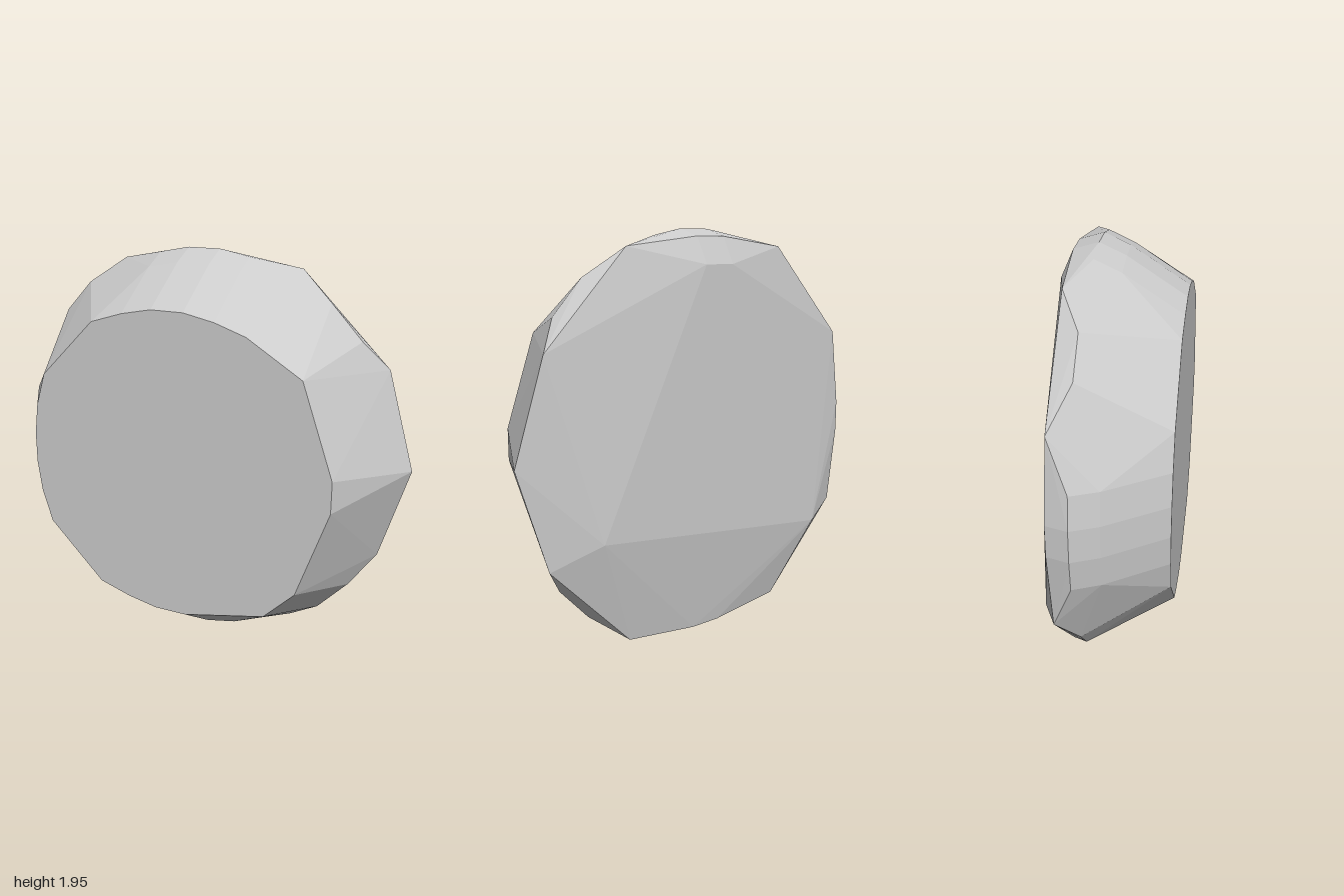
import * as THREE from 'three';
import { ConvexGeometry } from 'three/addons/geometries/ConvexGeometry.js';

const HEIGHT = 1.95;

// Lift [x, y] pairs onto a depth z
const ring = (z, pairs) => pairs.map(([x, y]) => new THREE.Vector3(x, y, z));

// Same, with every point repeated upside down
const mirroredRing = (z, pairs) =>
  ring(z, pairs.flatMap(([x, y]) => [[x, y], [x, HEIGHT - y]]));

export function createModel() {
  const group = new THREE.Group();
  group.name = 'facetedStone';

  const points = [
    // flat front face
    ...mirroredRing(0.28, [
      [-0.11, 1.72], [0.05, 1.72], [-0.26, 1.69], [-0.42, 1.64], [0.61, 1.48],
      [0.76, 1.05], [-0.7, 1.36], [-0.75, 1.2], [-0.77, 1.05],
    ]),
    ...ring(0.28, [[0.2, 1.69], [0.35, 1.64], [0.46, 0.32]]),
    // shoulder behind the front face
    ...mirroredRing(0.01, [
      [-0.11, 1.895], [0.05, 1.895], [-0.26, 1.865], [0.2, 1.865],
      [-0.95, 1.05], [-0.93, 1.2],
    ]),
    // widest rim
    ...mirroredRing(-0.11, [
      [-0.11, 1.95], [0.05, 1.95], [-0.26, 1.92], [0.2, 1.92],
      [0.6, 1.74], [0.75, 1.58], [-0.66, 1.75], [-0.8, 1.6],
      [-1, 1.05], [-0.98, 1.2],
    ]),
    // crease round the back
    ...mirroredRing(-0.2, [[-0.5, 1.87], [0.43, 1.87], [-0.93, 1.43]]),
    ...mirroredRing(-0.21, [[0.86, 1.44], [-0.97, 1.05]]),
    ...ring(-0.19, [[1, 0.975]]),
    ...ring(-0.225, [[-0.11, 1.915], [0.05, 1.915]]),
    ...ring(-0.21, [[-0.11, 0.04], [0.05, 0.04]]),
    // flat back face
    ...ring(-0.28, [[-0.12, 1.79], [0.04, 1.79], [-0.72, 0.45], [0.62, 0.6]]),
  ];

  const stone = new THREE.Mesh(
    new ConvexGeometry(points),
    new THREE.MeshStandardMaterial({ color: 0xcccccc, flatShading: true }),
  );
  stone.name = 'stone';
  group.add(stone);
  return group;
}
